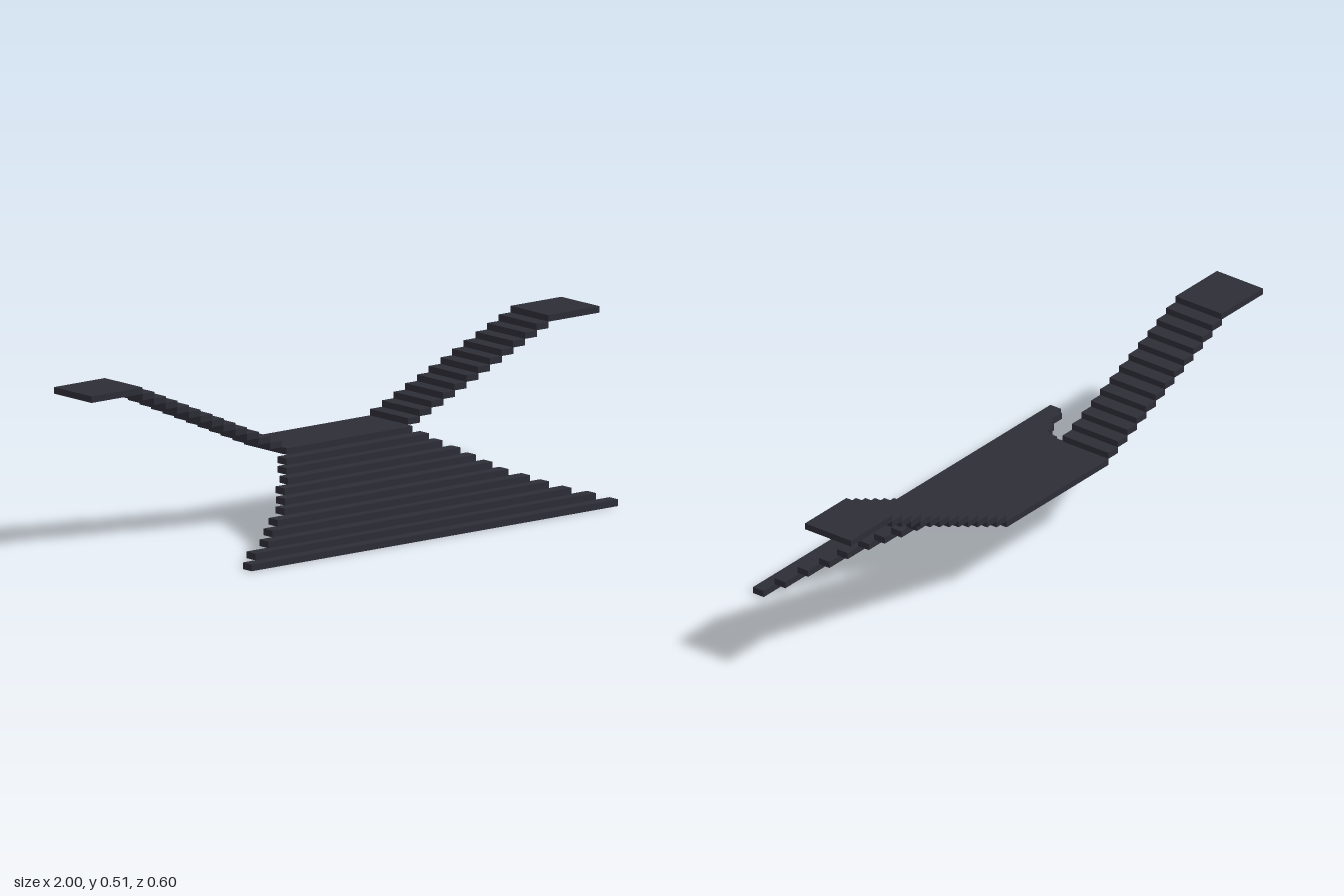
import * as THREE from 'three';

export function createModel() {
  const model = new THREE.Group();
  const slate = new THREE.MeshStandardMaterial({ color: 0x2d2d36 });
  slate.name = 'darkSlate';

  // Box slab given by its limits on each axis
  function slab(name, parent, x0, x1, y0, y1, z0, z1) {
    const mesh = new THREE.Mesh(new THREE.BoxGeometry(x1 - x0, y1 - y0, z1 - z0), slate);
    mesh.position.set((x0 + x1) / 2, (y0 + y1) / 2, (z0 + z1) / 2);
    mesh.name = name;
    parent.add(mesh);
  }

  // Broad lower flight, flaring towards the bottom: [left, right, front z]
  const lowerFlight = new THREE.Group();
  lowerFlight.name = 'lowerFlight';
  const rise = 0.0205;
  [
    [-0.727, 0.717, 0.3], [-0.679, 0.663, 0.26], [-0.599, 0.594, 0.227],
    [-0.551, 0.54, 0.188], [-0.503, 0.492, 0.156], [-0.444, 0.438, 0.118],
    [-0.412, 0.406, 0.082], [-0.38, 0.374, 0.043], [-0.337, 0.342, 0.009],
    [-0.31, 0.305, -0.03], [-0.283, 0.278, -0.062],
  ].forEach(([x0, x1, z], i) =>
    slab('lowerStep', lowerFlight, x0, x1, i * rise, (i + 1) * rise, z - 0.041, z));
  model.add(lowerFlight);

  // Middle landing
  slab('middleLanding', model, -0.25, 0.246, 0.226, 0.246, -0.299, -0.1);

  // Two upper flights climbing sideways, each ending in a landing
  const steps = 12, base = 0.246, climb = 0.02, end = 0.799;
  for (const side of [1, -1]) {
    const flight = new THREE.Group();
    flight.name = side > 0 ? 'leftUpperFlight' : 'rightUpperFlight';
    const start = side > 0 ? 0.246 : 0.25;
    const tread = (end - start) / steps;
    const add = (name, a, b, y) =>
      slab(name, flight, Math.min(side * a, side * b), Math.max(side * a, side * b),
        y, y + climb, -0.298, -0.122);
    for (let i = 0; i < steps; i++) {
      add('upperStep', start + i * tread, start + (i + 1) * tread + 0.001, base + i * climb);
    }
    add('upperLanding', end, 1, base + steps * climb);
    model.add(flight);
  }
  return model;
}
